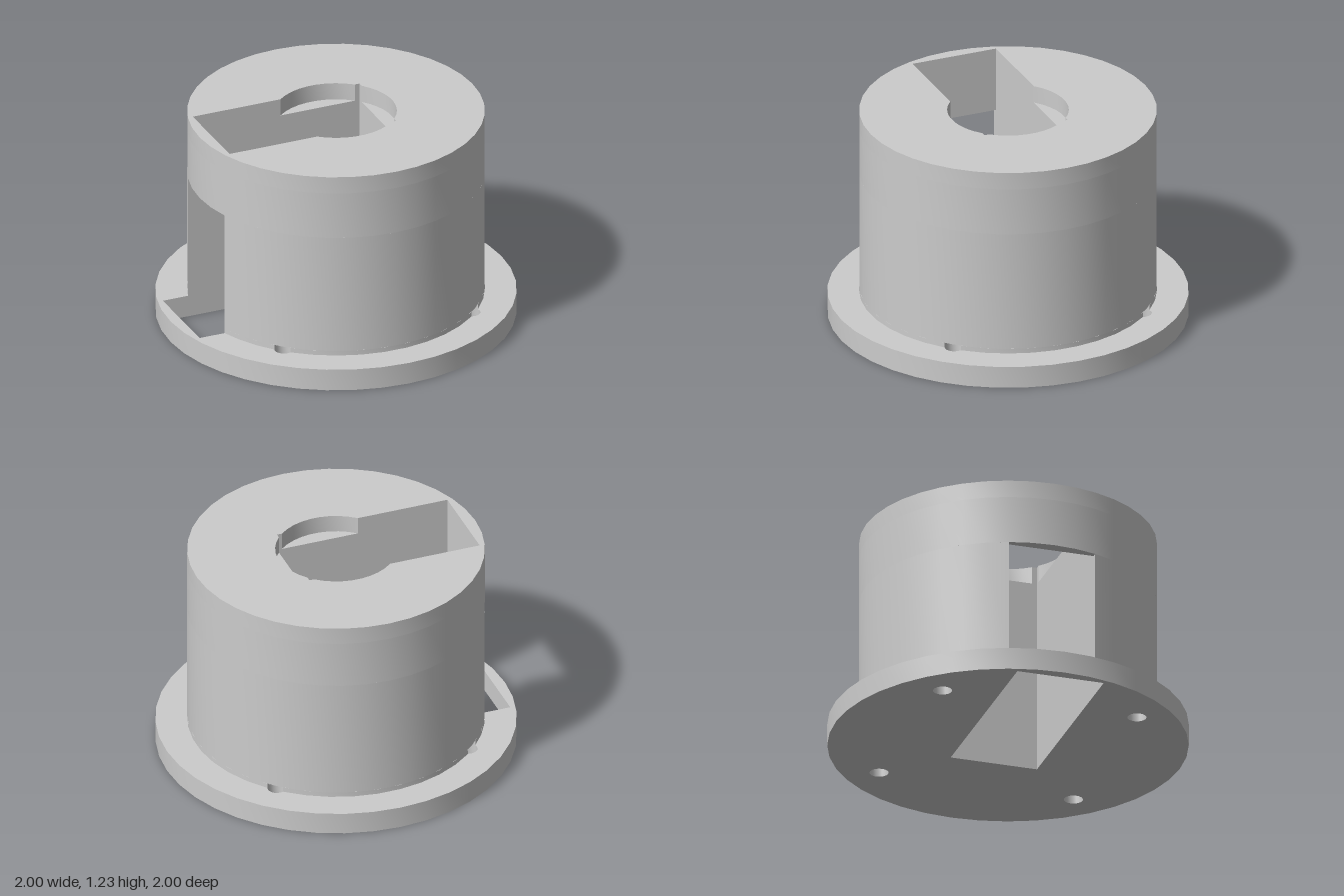
import * as THREE from 'three';
import { toCreasedNormals } from 'three/addons/utils/BufferGeometryUtils.js';

const BASE_R = 1, DRUM_R = 0.824, RECESS_R = 0.337;
const BASE_TOP = 0.127, NOTCH_TOP = 0.155, LIP_Y = 0.855, RECESS_Y = 1.13, TOP = 1.23;
const SLOT_Z = 0.251, SLOT_END = 0.253, SLOT_OUTER = -0.936, SLOT_INNER = -0.755;
const BOLT_D = 0.8, BOLT_R = 0.053; // screw holes: distance from the axis, radius
const STEP = Math.PI / 20;          // 40-sided rounds
const V = (x, y) => new THREE.Vector2(x, y);

// Points on an arc from angle a to b (either direction)
function arc(r, a, b, cx = 0, cy = 0, step = STEP) {
  const n = Math.max(1, Math.round(Math.abs(b - a) / step));
  return Array.from({ length: n + 1 }, (_, i) => {
    const t = a + (b - a) * i / n;
    return V(cx + r * Math.cos(t), cy + r * Math.sin(t));
  });
}
const circle = (r, cx, cy, step) => arc(r, 0, Math.PI * 2, cx, cy, step).slice(0, -1);
const rect = (x0, x1) => [V(x0, -SLOT_Z), V(x1, -SLOT_Z), V(x1, SLOT_Z), V(x0, SLOT_Z)];
const boltAngles = [-3, -1, 1, 3].map(k => k * Math.PI / 4);

// Drum outline with the slot open to the -x side, optionally bitten by the screw holes
function openDrum(notched) {
  const end = Math.PI - Math.asin(SLOT_Z / DRUM_R);
  const half = Math.acos((BOLT_D ** 2 + DRUM_R ** 2 - BOLT_R ** 2) / (2 * BOLT_D * DRUM_R));
  const open = Math.atan2(DRUM_R * Math.sin(half), DRUM_R * Math.cos(half) - BOLT_D);
  const pts = [];
  let from = -end;
  if (notched) for (const a of boltAngles) {
    pts.push(...arc(DRUM_R, from, a - half));
    const bite = arc(BOLT_R, a - open, a + open - Math.PI * 2,
      BOLT_D * Math.cos(a), BOLT_D * Math.sin(a), Math.PI / 10);
    pts.push(...bite.slice(1, -1));
    from = a + half;
  }
  pts.push(...arc(DRUM_R, from, end), V(SLOT_END, SLOT_Z), V(SLOT_END, -SLOT_Z));
  return pts;
}

// Slot merged with the round recess
function keyhole() {
  const a = Math.asin(SLOT_Z / RECESS_R), b = Math.acos(SLOT_END / RECESS_R);
  return [
    V(SLOT_INNER, -SLOT_Z),
    ...arc(RECESS_R, -Math.PI + a, -a), V(SLOT_END, -SLOT_Z),
    ...arc(RECESS_R, -b, b), V(SLOT_END, SLOT_Z),
    ...arc(RECESS_R, a, Math.PI - a),
    V(SLOT_INNER, SLOT_Z),
  ];
}

export function createModel() {
  const group = new THREE.Group();
  const grey = new THREE.MeshStandardMaterial({ color: 0xcccccc });
  grey.name = 'grey';

  // Upright slab from y0 to y1 with the given plan
  function slab(name, y0, y1, outline, holes = []) {
    const shape = new THREE.Shape(outline);
    shape.holes = holes.map(h => new THREE.Path(h));
    const geo = new THREE.ExtrudeGeometry(shape, { depth: y1 - y0, bevelEnabled: false });
    geo.rotateX(-Math.PI / 2).translate(0, y0, 0);
    const mesh = new THREE.Mesh(toCreasedNormals(geo, 0.5), grey);
    mesh.name = name;
    group.add(mesh);
  }

  // Flange with the slot and four screw holes
  const bolts = boltAngles.map(a =>
    circle(BOLT_R, BOLT_D * Math.cos(a), BOLT_D * Math.sin(a), Math.PI / 10));
  slab('baseFlange', 0, BASE_TOP, circle(BASE_R), [rect(SLOT_OUTER, SLOT_END), ...bolts]);

  // Drum: notched foot, open-sided wall, closed band, recessed top
  slab('drumFoot', BASE_TOP, NOTCH_TOP, openDrum(true));
  slab('drumWall', NOTCH_TOP, LIP_Y, openDrum(false));
  slab('drumBand', LIP_Y, RECESS_Y, circle(DRUM_R), [rect(SLOT_INNER, SLOT_END)]);
  slab('drumTop', RECESS_Y, TOP, circle(DRUM_R), [keyhole()]);
  return group;
}
